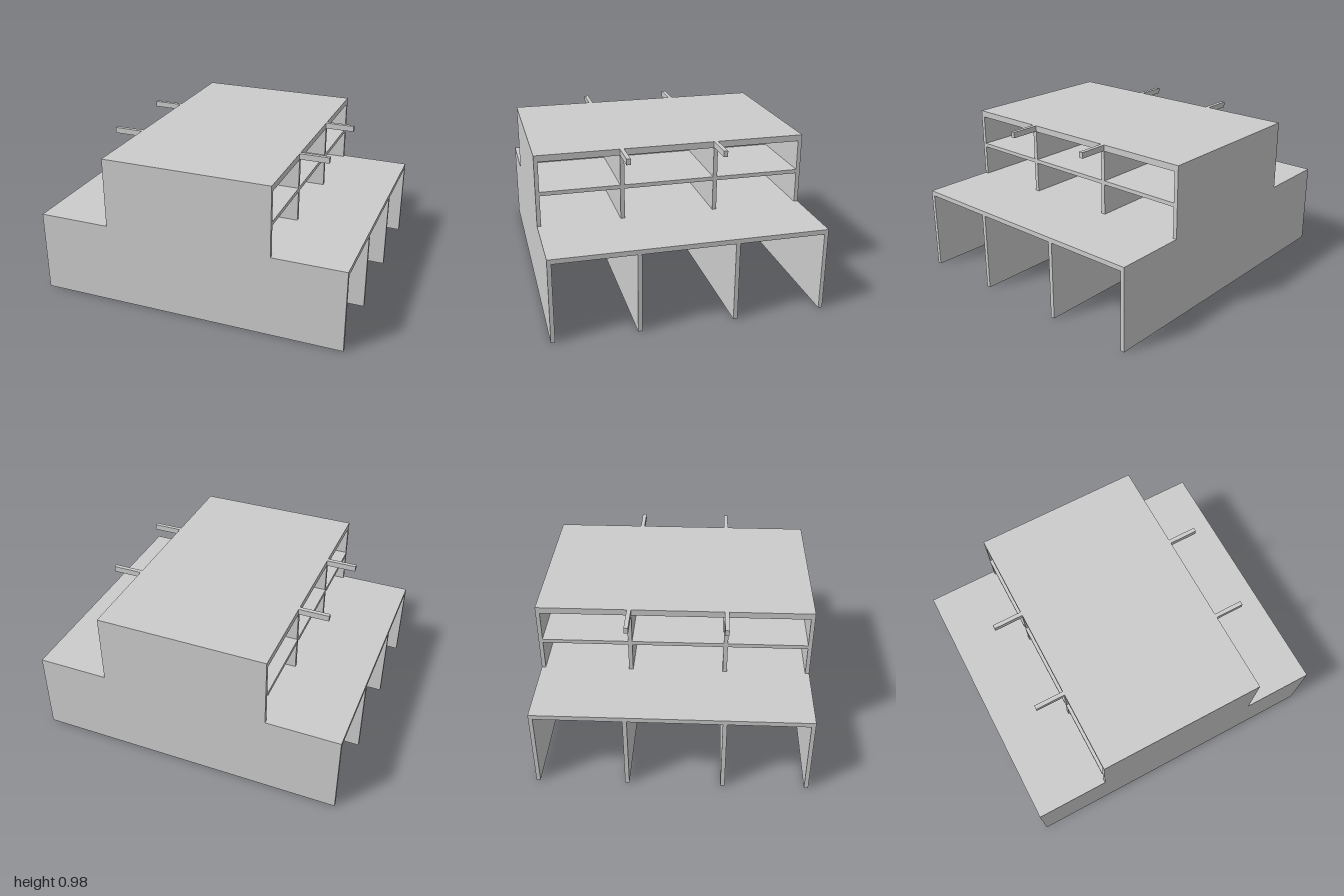
import * as THREE from 'three';

export function createModel() {
  const group = new THREE.Group();
  const material = new THREE.MeshStandardMaterial({ color: 0xcccccc });

  // Box given by its limits on each axis
  const slab = (name, [x0, x1], [y0, y1], [z0, z1]) => {
    const mesh = new THREE.Mesh(new THREE.BoxGeometry(x1 - x0, y1 - y0, z1 - z0), material);
    mesh.position.set((x0 + x1) / 2, (y0 + y1) / 2, (z0 + z1) / 2);
    mesh.name = name;
    group.add(mesh);
  };

  const left = 0.54, right = -0.535; // sides of the raised middle
  const deskY = 0.53, topY = 0.98;

  // Upright panels with a stepped outline: wide desk below, narrow hutch above
  const outline = new THREE.Shape([
    [-1, 0], [1, 0], [1, deskY], [left, deskY],
    [left, topY], [right, topY], [right, deskY], [-1, deskY],
  ].map(([x, y]) => new THREE.Vector2(x, y)));
  const panels = [[-0.843, -0.818], [-0.288, -0.262], [0.302, 0.328], [0.818, 0.843]];
  panels.forEach(([z0, z1], i) => {
    const geometry = new THREE.ExtrudeGeometry(outline, { depth: z1 - z0, bevelEnabled: false });
    const panel = new THREE.Mesh(geometry, material);
    panel.position.z = z0;
    panel.name = i % 3 === 0 ? 'endPanel' : 'divider';
    group.add(panel);
  });

  // Each bay between two panels: desktop, shelf, roof and central back wall
  for (let i = 0; i < panels.length - 1; i++) {
    const bay = [panels[i][1], panels[i + 1][0]];
    slab('desktop', [-1, 1], [0.5, deskY], bay);
    slab('shelf', [-0.54, left], [0.725, 0.75], bay);
    slab('roof', [right, left], [0.94, topY], bay);
    slab('lowerBackWall', [-0.013, 0.013], [0, 0.5], bay);
    slab('middleBackWall', [-0.013, 0.013], [deskY, 0.725], bay);
    slab('upperBackWall', [-0.013, 0.013], [0.75, 0.94], bay);
  }

  // Short arms reaching out from the dividers at roof height
  for (const z of [panels[1], panels[2]]) {
    slab('leftArm', [left, 0.727], [0.943, topY], z);
    slab('rightArm', [-0.727, right], [0.943, topY], z);
  }
  return group;
}
